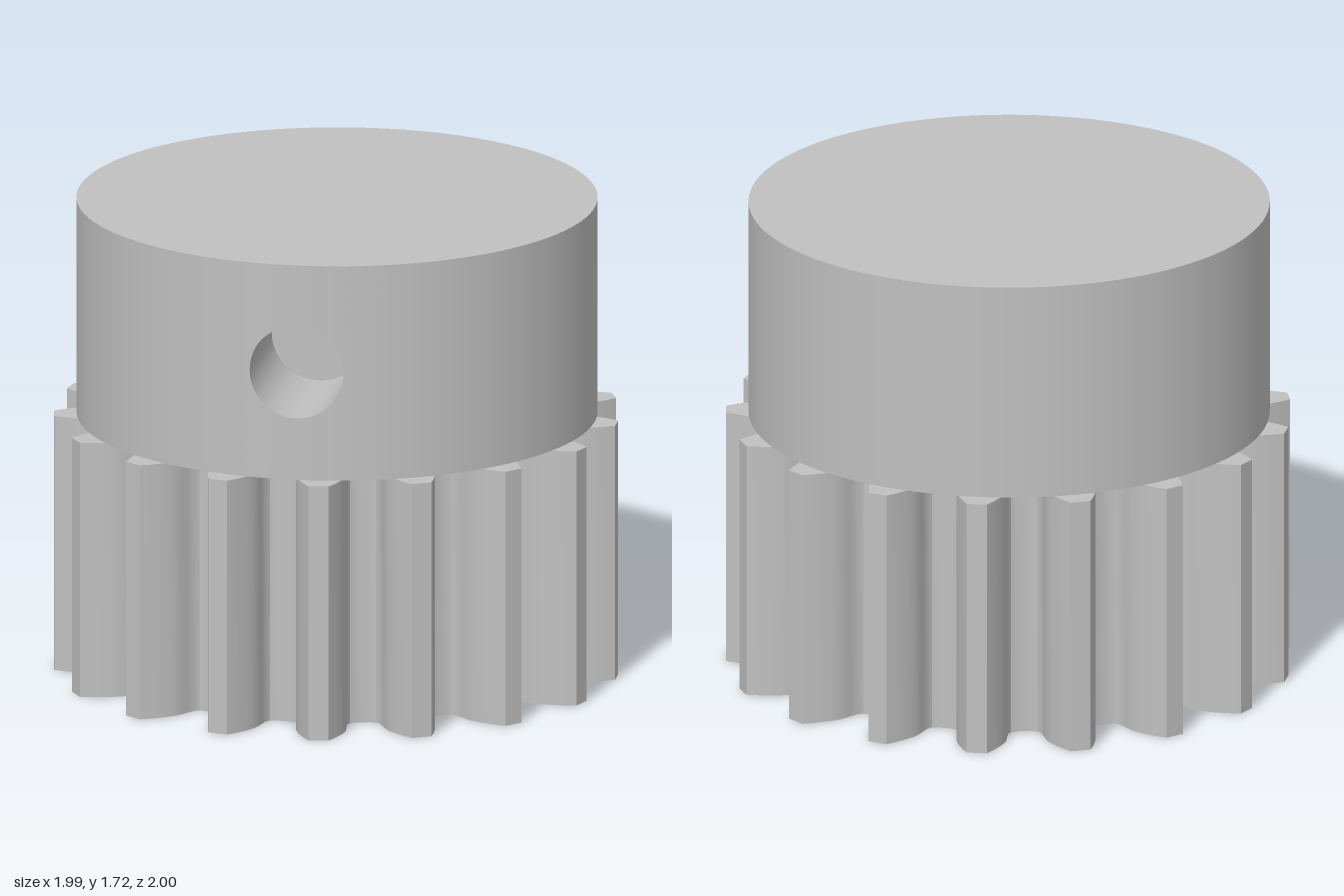
import * as THREE from 'three';
import { toCreasedNormals } from 'three/addons/utils/BufferGeometryUtils.js';

const TEETH = 17, GEAR_H = 0.93, TOP = 1.715;
const HUB_R = 0.92, BORE_R = 0.41;
const HOLE_R = 0.168, HOLE_END = 0.41;
const MID = (GEAR_H + TOP) / 2, HALF = (TOP - GEAR_H) / 2;

// Half of a tooth, root to tip: [radius, angle from the tooth centre line]
const FLANK = [
  [0.764, 0.15], [0.772, 0.124], [0.79, 0.111], [0.82, 0.106], [0.841, 0.105],
  [0.87, 0.1014], [0.895, 0.0924], [0.92, 0.0812], [0.96, 0.0599], [1, 0.0357],
];

// Surface through closed loops of points
function loft(loops) {
  const n = loops[0].length, index = [];
  for (let j = 0; j < loops.length - 1; j++) {
    for (let i = 0; i < n; i++) {
      const k = (i + 1) % n;
      const a = j * n + i, b = j * n + k, c = a + n, d = b + n;
      index.push(a, c, b, b, c, d);
    }
  }
  const geo = new THREE.BufferGeometry().setFromPoints(loops.flat());
  geo.setIndex(index);
  geo.computeVertexNormals();
  return geo;
}

export function createModel() {
  const model = new THREE.Group();
  model.name = 'pinionGear';
  const steel = new THREE.MeshStandardMaterial({ color: 0xc0c0c0 });
  steel.name = 'steel grey';

  const add = (name, geo, parent = model) => {
    const mesh = new THREE.Mesh(geo, steel);
    mesh.name = name;
    parent.add(mesh);
    return mesh;
  };

  // Toothed section with the shaft bore
  const outline = [];
  for (let t = 0; t < TEETH; t++) {
    const mid = (t / TEETH) * Math.PI * 2;
    const put = (r, a) => outline.push(new THREE.Vector2(r * Math.cos(mid + a), r * Math.sin(mid + a)));
    put(0.763, -Math.PI / TEETH);
    FLANK.forEach(([r, a]) => put(r, -a));
    [...FLANK].reverse().forEach(([r, a]) => put(r, a));
  }
  const shape = new THREE.Shape(outline);
  shape.holes.push(new THREE.Path().absarc(0, 0, BORE_R, 0, Math.PI * 2, true));
  const gear = new THREE.ExtrudeGeometry(shape, { depth: GEAR_H, bevelEnabled: false, curveSegments: 64 });
  gear.rotateX(-Math.PI / 2);
  add('toothedSection', toCreasedNormals(gear, 0.6));

  // Hub: plain wall around the sides and back
  const hub = new THREE.Group();
  hub.name = 'hub';
  model.add(hub);
  const span = HALF / HUB_R;
  const wall = new THREE.CylinderGeometry(HUB_R, HUB_R, HALF * 2, 96, 1, true, span, Math.PI * 2 - span * 2);
  add('hubWall', wall, hub).position.y = MID;

  // Front of the hub: rings blending from the round hole to a square patch
  const N = 64;
  const ring = (fn) => Array.from({ length: N }, (_, i) => fn((i / N) * Math.PI * 2));
  const onHub = (u, v) => new THREE.Vector3(HUB_R * Math.sin(u), MID + v, HUB_R * Math.cos(u));
  const rings = [0, 0.2, 0.4, 0.6, 0.8, 1].map((t) => ring((a) => {
    const c = Math.cos(a), s = Math.sin(a);
    const edge = HALF / Math.max(Math.abs(c), Math.abs(s));
    const u = THREE.MathUtils.lerp(Math.asin((HOLE_R * c) / HUB_R), (edge * c) / HUB_R, t);
    return onHub(u, THREE.MathUtils.lerp(HOLE_R * s, edge * s, t));
  }));
  const patch = loft(rings);
  const p = patch.attributes.position;
  for (let i = 0; i < p.count; i++) {
    patch.attributes.normal.setXYZ(i, p.getX(i) / HUB_R, 0, p.getZ(i) / HUB_R);
  }
  add('hubFront', patch, hub);

  // Set-screw hole and its floor
  const inner = rings[0].map((q) => new THREE.Vector3(q.x, q.y, HOLE_END));
  add('screwHole', loft([inner, rings[0]]), hub);
  add('screwHoleFloor', new THREE.CircleGeometry(HOLE_R, N), hub).position.set(0, MID, HOLE_END);

  // Hub end faces; the lower one also closes the bore
  const top = add('hubTop', new THREE.CircleGeometry(HUB_R, 128).rotateX(-Math.PI / 2), hub);
  top.position.y = TOP;
  const under = add('hubUnderside', new THREE.CircleGeometry(HUB_R, 128).rotateX(Math.PI / 2), hub);
  under.position.y = GEAR_H;

  model.position.x = -0.005;
  return model;
}
